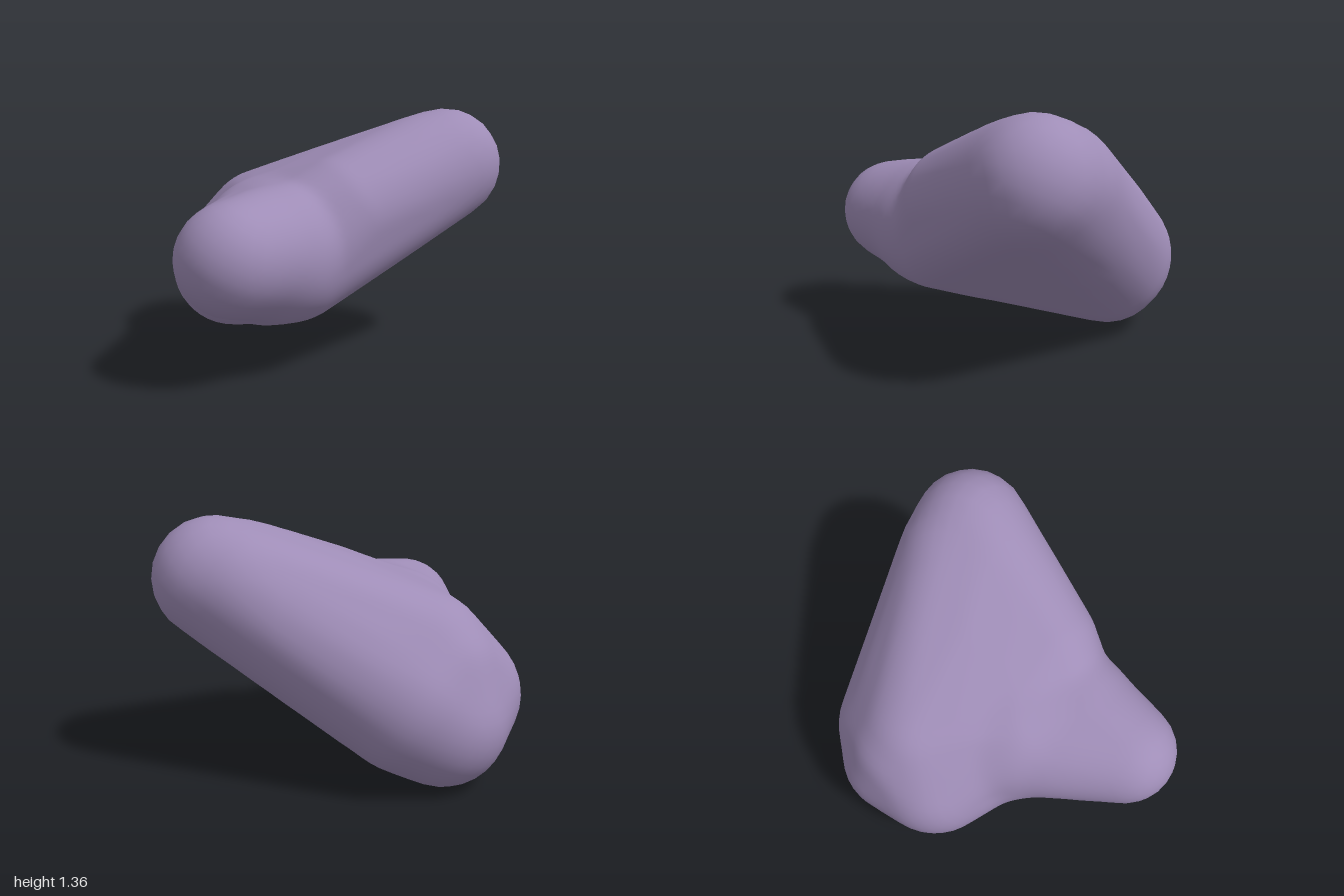
import * as THREE from 'three';
import { mergeVertices } from 'three/addons/utils/BufferGeometryUtils.js';

// Balls [x, y, z, radius] wrapped by a tight skin: the rounded three-cornered body
const BODY = [
  [-0.56, 0.34, -0.32, 0.34], // low corner
  [-0.52, 0.41, -0.09, 0.36], // low corner, front
  [-0.48, 0.56, -0.28, 0.35], // low corner, shoulder
  [-0.40, 0.62, -0.26, 0.37], // low corner, top
  [-0.42, 0.45, -0.40, 0.38], // low corner, back
  [0.57, 1.04, -0.68, 0.32],  // high corner
  [0.42, 0.99, -0.66, 0.32],  // high corner, inner side
  [0.50, 1.00, -0.52, 0.32],  // high corner, front
  [0.33, 0.81, 0.00, 0.32],   // ridge towards the front lobe
  [0.24, 0.73, 0.15, 0.31],   // end of the ridge
  [-0.06, 0.67, 0.07, 0.34],  // web between low corner and lobe
  [0.22, 0.57, 0.28, 0.30],   // root of the front lobe
];
// Front lobe: tip, neck and the fillet towards the low corner
const LOBE = [
  [0.17, 0.65, 0.71, 0.29],
  [0.17, 0.64, 0.42, 0.345],
  [-0.06, 0.59, 0.21, 0.36],
];
const CENTRE = new THREE.Vector3(0.05, 0.62, 0); // lies inside both skins
const SOFT = 0.12;                               // width of the blend between them

// Unit sphere of evenly spread, shared vertices
function unitSphere(detail) {
  const geo = new THREE.IcosahedronGeometry(1, detail);
  geo.deleteAttribute('normal');
  geo.deleteAttribute('uv');
  return mergeVertices(geo, 1e-4);
}

// Tangent planes around a set of balls, as [nx, ny, nz, distance from CENTRE]
function tangentPlanes(balls, normals) {
  const planes = [];
  for (let i = 0; i < normals.count; i++) {
    const x = normals.getX(i), y = normals.getY(i), z = normals.getZ(i);
    let reach = -Infinity;
    for (const [bx, by, bz, r] of balls) {
      reach = Math.max(reach, (bx - CENTRE.x) * x + (by - CENTRE.y) * y + (bz - CENTRE.z) * z + r);
    }
    planes.push([x, y, z, reach]);
  }
  return planes;
}

// Distance from CENTRE to the skin along a direction
function skinRadius(planes, d) {
  let t = Infinity;
  for (const [x, y, z, reach] of planes) {
    const facing = x * d.x + y * d.y + z * d.z;
    if (facing > 0.01) t = Math.min(t, reach / facing);
  }
  return t;
}

function createStone() {
  const normals = unitSphere(36).attributes.position;
  const body = tangentPlanes(BODY, normals);
  const lobe = tangentPlanes(LOBE, normals);

  // Push every sphere vertex out to the softly joined skins
  const geo = unitSphere(18);
  const pos = geo.attributes.position;
  const dir = new THREE.Vector3();
  for (let i = 0; i < pos.count; i++) {
    dir.fromBufferAttribute(pos, i).normalize();
    const a = skinRadius(body, dir), b = skinRadius(lobe, dir);
    const h = Math.max(SOFT - Math.abs(a - b), 0) / SOFT;
    dir.multiplyScalar(Math.max(a, b) + h * h * SOFT / 4).add(CENTRE);
    pos.setXYZ(i, dir.x, dir.y, dir.z);
  }
  geo.computeVertexNormals();
  return geo;
}

export function createModel() {
  const group = new THREE.Group();
  group.name = 'stone';
  const mauve = new THREE.MeshStandardMaterial({ color: 0x9f8db7 });
  mauve.name = 'mauve';
  const mesh = new THREE.Mesh(createStone(), mauve);
  mesh.name = 'stoneBody';
  group.add(mesh);
  return group;
}
